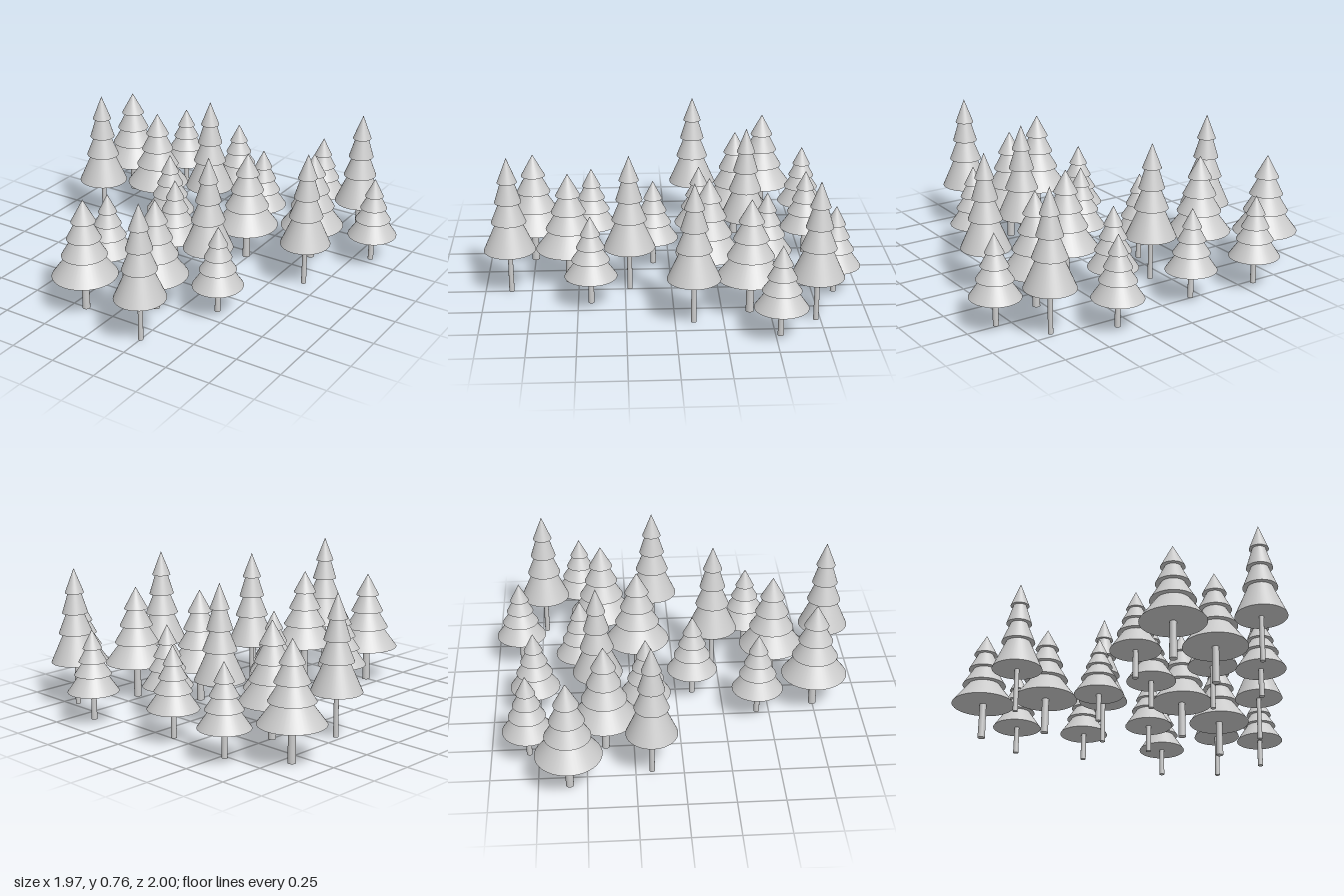
import * as THREE from 'three';

const material = new THREE.MeshStandardMaterial({ color: 0xcccccc });

// Tiers run from the crown down: [top y, bottom y, top radius, bottom radius]
const KINDS = {
  tall: {
    trunk: [0.005, 0.014],
    tiers: [
      [0.765, 0.63, 0, 0.052],
      [0.63, 0.52, 0.036, 0.07],
      [0.52, 0.408, 0.047, 0.092],
      [0.408, 0.248, 0.066, 0.137],
    ],
    spots: [
      [0.255, 0.86], [0.25, 0.225], [0.66, -0.095],
      [-0.725, -0.165, 1], [-0.155, -0.43, 1], [0.66, -0.725],
    ],
  },
  wide: {
    trunk: [0, 0.021],
    tiers: [
      [0.627, 0.505, 0, 0.066],
      [0.505, 0.41, 0.043, 0.092],
      [0.41, 0.315, 0.064, 0.122],
      [0.315, 0.2, 0.09, 0.176],
    ],
    spots: [
      [-0.81, -0.59, 1], [-0.5, -0.4, 1], [0.54, -0.395],
      [0.235, -0.2], [0.135, 0.55], [-0.17, 0.75],
    ],
  },
  small: {
    trunk: [0.018, 0.0155],
    tiers: [
      [0.507, 0.405, 0, 0.051],
      [0.405, 0.335, 0.036, 0.074],
      [0.335, 0.265, 0.052, 0.099],
      [0.265, 0.172, 0.073, 0.137],
    ],
    spots: [
      [-0.56, -0.8, 1], [-0.165, -0.77, 1], [0.355, -0.86],
      [0.15, -0.52], [0.85, -0.52], [-0.26, -0.175, 1],
      [-0.05, 0.09], [-0.255, 0.43], [0.44, 0.43],
    ],
  },
};

// Cylinder or cone frustum between two heights
function frustum(top, bottom, rTop, rBottom, sides, name) {
  const geo = new THREE.CylinderGeometry(rTop, rBottom, top - bottom, sides, 1);
  geo.translate(0, (top + bottom) / 2, 0);
  const mesh = new THREE.Mesh(geo, material);
  mesh.name = name;
  return mesh;
}

function createTree(kind) {
  const tree = new THREE.Group();
  const { trunk: [base, radius], tiers } = kind;
  const skirt = tiers[tiers.length - 1][1];
  tree.add(frustum(skirt + 0.01, base, radius * 0.9, radius, 16, 'trunk'));
  tiers.forEach(([top, bottom, rTop, rBottom], i) => {
    tree.add(frustum(top, bottom, rTop, rBottom, 40, i ? 'branchTier' : 'crown'));
  });
  return tree;
}

export function createModel() {
  const forest = new THREE.Group();
  forest.name = 'forest';
  for (const [name, kind] of Object.entries(KINDS)) {
    const prototype = createTree(kind);
    for (const [x, z, turned] of kind.spots) {
      const tree = prototype.clone();
      tree.name = name + 'Tree';
      tree.position.set(x, 0, z);
      // Crowns are very slightly oval, some turned a quarter
      tree.scale.set(turned ? 1 : 0.97, 1, turned ? 0.98 : 1.01);
      forest.add(tree);
    }
  }
  return forest;
}
